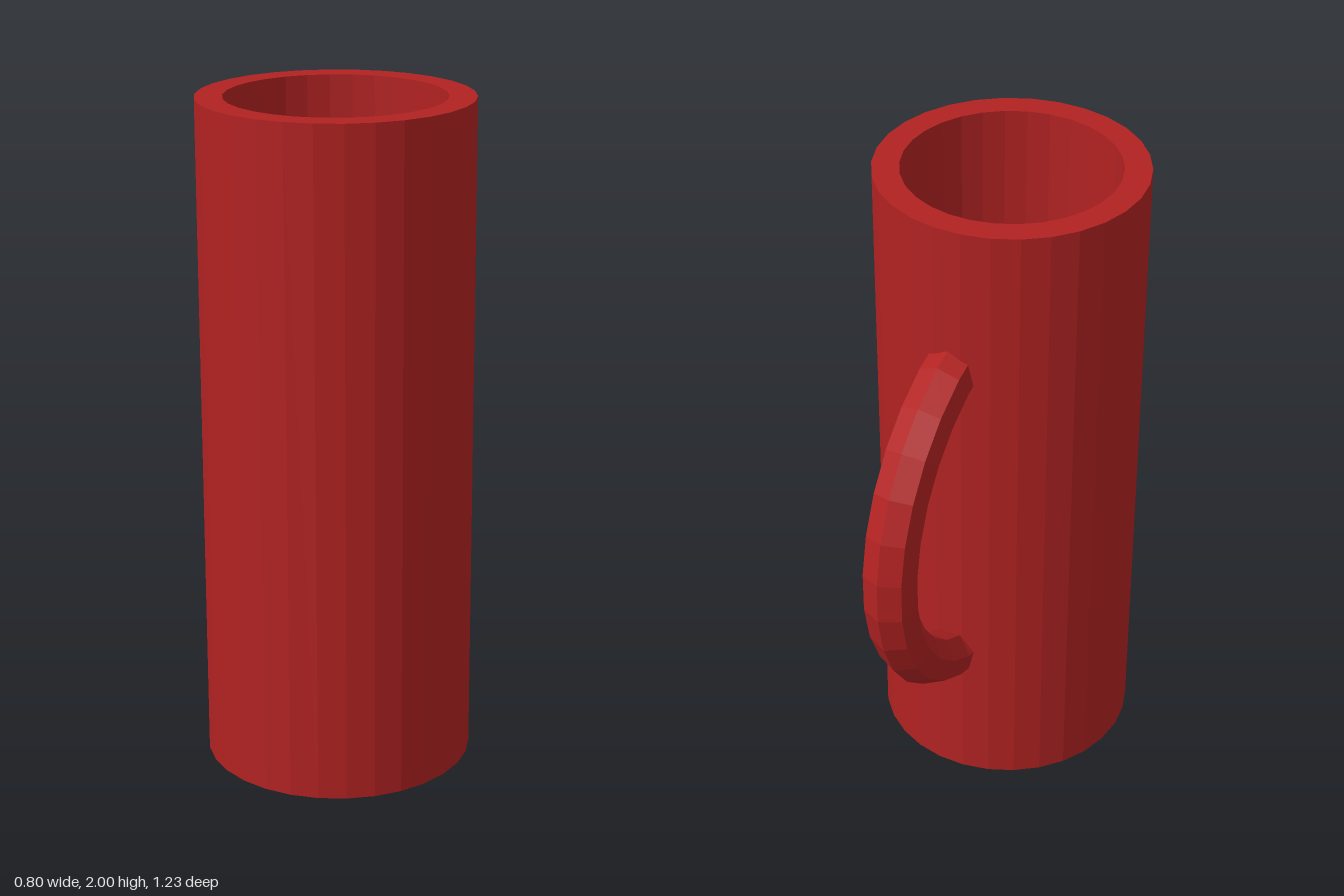
import * as THREE from 'three';

const CUP_Z = 0.219;
const SIDES = 30;

// Half-ring handle whose ends stop inside the cup wall
function handleGeometry() {
  const radial = 7, steps = 13, step = Math.PI / 15, arc = steps * step;
  const geo = new THREE.TorusGeometry(0.56, 0.08, radial, steps, arc);
  const pos = geo.attributes.position;
  const a = new THREE.Vector3(), b = new THREE.Vector3();
  for (let j = 0; j <= radial; j++) {
    const row = j * (steps + 1);
    // shorten the first and last segment
    for (const [end, next] of [[0, 1], [steps, steps - 1]]) {
      a.fromBufferAttribute(pos, row + end);
      b.fromBufferAttribute(pos, row + next);
      a.lerp(b, 0.33);
      pos.setXYZ(row + end, a.x, a.y, a.z);
    }
  }
  geo.rotateZ(-arc / 2);
  geo.rotateY(Math.PI / 2);
  geo.computeVertexNormals();
  return geo;
}

export function createModel() {
  const group = new THREE.Group();
  group.name = 'mug';
  const material = new THREE.MeshStandardMaterial({ color: 0xb22222, flatShading: true });

  // Hollow cup: base, outer wall, rim, inner wall, floor
  const profile = [[0, 0], [0.4, 0], [0.4, 2], [0.32, 2], [0.32, 0.08], [0, 0.08]]
    .map(([r, y]) => new THREE.Vector2(r, y));
  const cup = new THREE.Mesh(new THREE.LatheGeometry(profile, SIDES, Math.PI / 2), material);
  cup.name = 'cup';
  cup.position.z = CUP_Z;
  group.add(cup);

  const handle = new THREE.Mesh(handleGeometry(), material);
  handle.name = 'handle';
  handle.position.set(0, 1, CUP_Z - 0.2);
  group.add(handle);

  return group;
}
